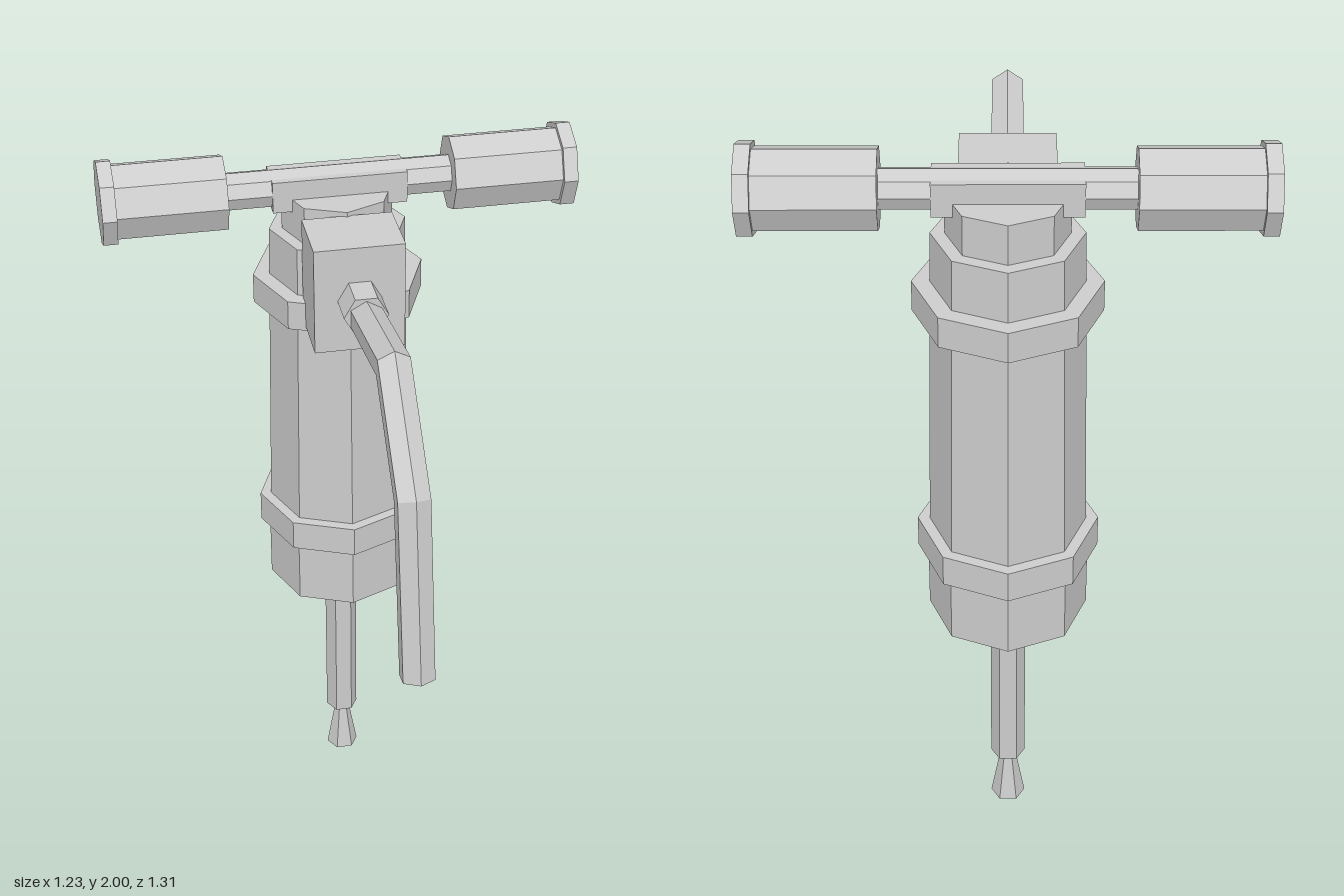
import * as THREE from 'three';

export function createModel() {
  const model = new THREE.Group();
  const grey = new THREE.MeshStandardMaterial({ color: 0xcccccc, flatShading: true });
  grey.name = 'lightGrey';
  const Z = -0.43; // axis of the main body

  function add(name, geometry, x = 0, y = 0, z = 0) {
    const mesh = new THREE.Mesh(geometry, grey);
    mesh.name = name;
    mesh.position.set(x, y, z);
    model.add(mesh);
    return mesh;
  }

  // Upright prism between two heights on the body axis
  function column(name, y0, y1, rBottom, rTop, sides) {
    const start = sides === 6 ? Math.PI / 2 : 0; // hexagons point sideways
    const g = new THREE.CylinderGeometry(rTop, rBottom, y1 - y0, sides, 1, false, start);
    add(name, g, 0, (y0 + y1) / 2, Z);
  }

  // Octagonal prism lying along x
  function crosswise(name, x0, x1, r) {
    const g = new THREE.CylinderGeometry(r, r, Math.abs(x1 - x0), 8);
    g.rotateZ(Math.PI / 2);
    add(name, g, (x0 + x1) / 2, 1.886, Z);
  }

  // Chisel, shaft and body
  column('flaredTip', 0, 0.15, 0.045, 0.019, 6);
  column('shaft', 0.15, 0.63, 0.045, 0.045, 6);
  column('shaftCollar', 0.615, 0.69, 0.087, 0.087, 6);
  column('bodyBase', 0.675, 0.9, 0.201, 0.201, 8);
  column('lowerRing', 0.86, 0.945, 0.226, 0.226, 8);
  column('body', 0.9, 1.77, 0.197, 0.18, 8);
  column('upperRing', 1.56, 1.64, 0.226, 0.226, 8);
  column('neck', 1.77, 1.872, 0.146, 0.146, 8);

  // Handlebar with a clamp in the middle and a grip on each side
  crosswise('handlebar', -0.3, 0.3, 0.05);
  add('handlebarClamp', new THREE.BoxGeometry(0.35, 0.084, 0.102), 0, 1.881, Z);
  for (const [side, s] of [['left', 1], ['right', -1]]) {
    crosswise(side + 'Grip', s * 0.293, s * 0.58, 0.1);
    crosswise(side + 'GripFlange', s * 0.576, s * 0.613, 0.113);
  }

  // Hose inlet
  add('inletBlock', new THREE.BoxGeometry(0.233, 0.288, 0.175), 0, 1.716, -0.203);
  const nut = new THREE.CylinderGeometry(0.057, 0.057, 0.1, 6, 1, false, Math.PI / 2);
  nut.rotateX(Math.PI / 2);
  add('inletNut', nut, 0, 1.715, -0.078);

  // Hose: a hexagonal tube bent along straight runs with mitred joints
  const path = [[-0.04, 1.71], [0.3, 1.767], [0.53, 1.542], [0.612, 1.078]]
    .map(([z, y]) => new THREE.Vector2(z, y));
  const dirs = path.slice(1).map((p, i) => p.clone().sub(path[i]).normalize());
  const runs = path.length - 1;
  const hose = new THREE.CylinderGeometry(0.046, 0.046, 1, 6, runs);
  const pos = hose.attributes.position;
  for (let i = 0; i < pos.count; i++) {
    const k = Math.round((0.5 - pos.getY(i)) * runs);
    const before = dirs[Math.max(k - 1, 0)];
    const after = dirs[Math.min(k, runs - 1)];
    const d = before.clone().add(after).normalize();
    const offset = pos.getZ(i) / d.dot(before);
    pos.setXYZ(i, pos.getX(i), path[k].y + d.x * offset, path[k].x - d.y * offset);
  }
  hose.computeVertexNormals();
  add('hose', hose);

  return model;
}
